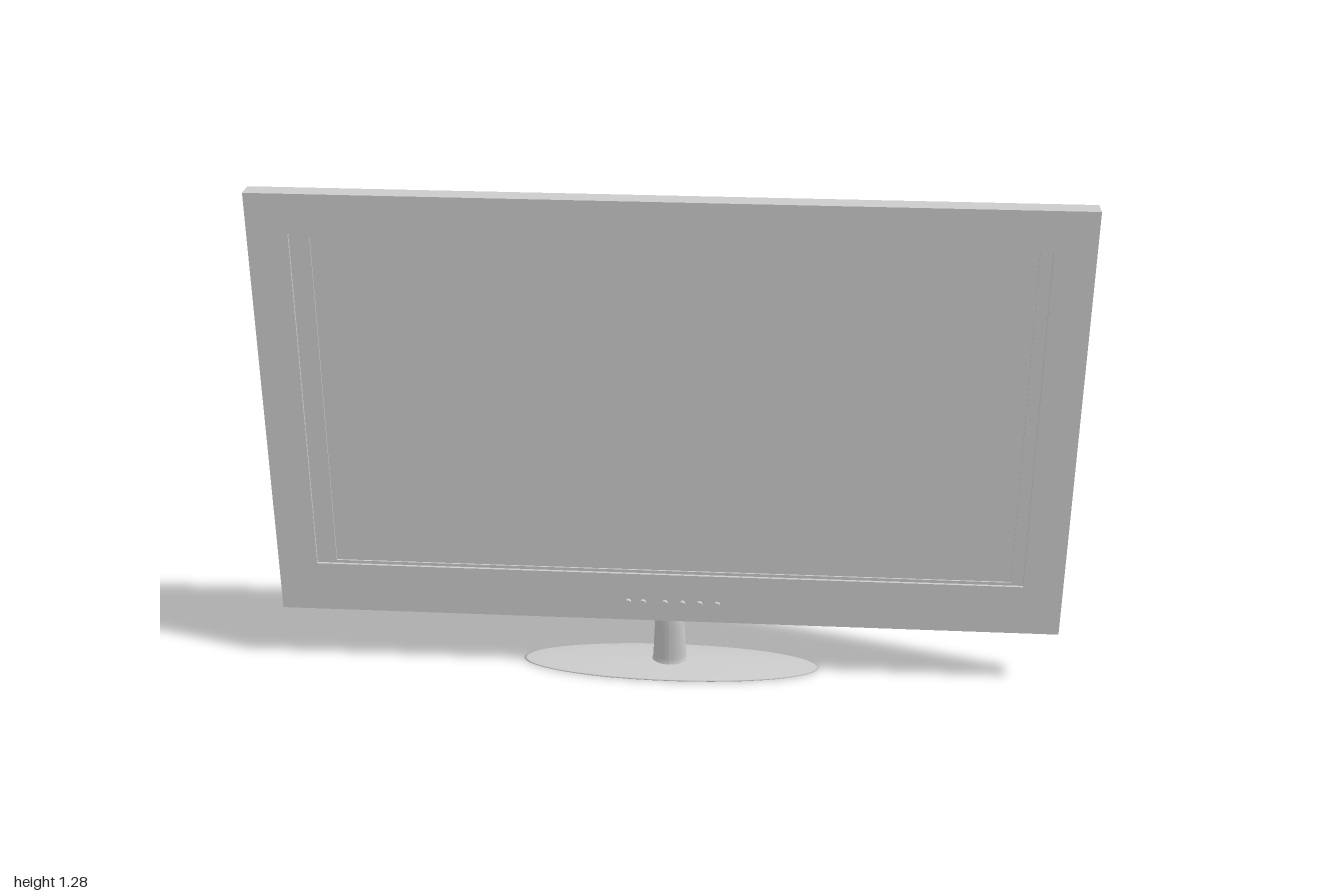
import * as THREE from 'three';

const grey = new THREE.MeshStandardMaterial({ color: 0xcccccc });

function add(parent, name, geometry, x = 0, y = 0, z = 0) {
  const mesh = new THREE.Mesh(geometry, grey);
  mesh.name = name;
  mesh.position.set(x, y, z);
  parent.add(mesh);
  return mesh;
}

// Corners of a rectangle, counterclockwise seen from the front
const corners = ([x0, x1, y0, y1]) => [[x0, y0], [x1, y0], [x1, y1], [x0, y1]];

// Rectangular slab between two depths, with an optional rectangular opening
function slab(rect, zBack, zFront, opening) {
  const points = (r) => corners(r).map(([x, y]) => new THREE.Vector2(x, y));
  const shape = new THREE.Shape(points(rect));
  if (opening) shape.holes.push(new THREE.Path(points(opening).reverse()));
  const geometry = new THREE.ExtrudeGeometry(shape, { depth: zFront - zBack, bevelEnabled: false });
  return geometry.translate(0, 0, zBack);
}

// Sloping walls joining rectangles that step towards the back
function slopedWalls(rings) {
  const positions = [];
  for (let r = 0; r < rings.length - 1; r++) {
    const outer = corners(rings[r].rect).map((p) => [...p, rings[r].z]);
    const inner = corners(rings[r + 1].rect).map((p) => [...p, rings[r + 1].z]);
    for (let i = 0; i < 4; i++) {
      const j = (i + 1) % 4;
      positions.push(...outer[i], ...inner[j], ...outer[j], ...outer[i], ...inner[i], ...inner[j]);
    }
  }
  const geometry = new THREE.BufferGeometry();
  geometry.setAttribute('position', new THREE.Float32BufferAttribute(positions, 3));
  geometry.computeVertexNormals();
  return geometry;
}

const profile = (list) => list.map(([x, y]) => new THREE.Vector2(x, y));

export function createModel() {
  const model = new THREE.Group();
  model.name = 'television';

  // Bezel, recessed surround and screen
  const opening = [-0.9, 0.9, 0.285, 1.18];
  const screen = [-0.85, 0.87, 0.293, 1.172];
  add(model, 'bezel', slab([-1, 1, 0.15, 1.28], -0.013, 0.036, opening));
  add(model, 'screenSurround', slab(opening, -0.012, 0.029, screen));
  add(model, 'screen', slab(screen, -0.012, 0.025));

  // Control buttons under the screen
  const buttons = new THREE.Group();
  buttons.name = 'buttons';
  model.add(buttons);
  for (const x of [-0.098, -0.06, -0.004, 0.041, 0.085, 0.13]) {
    add(buttons, 'button', new THREE.CylinderGeometry(0.008, 0.008, 0.012, 16).rotateX(Math.PI / 2), x, 0.204, 0.039);
  }

  // Back housing: two slopes up to a flat with a connector recess
  const flat = [-0.705, 0.737, 0.368, 1.074];
  const recess = [0.37, 0.505, 0.42, 0.5];
  add(model, 'backHousingSlopes', slopedWalls([
    { rect: opening, z: -0.012 },
    { rect: [-0.825, 0.857, 0.3, 1.143], z: -0.041 },
    { rect: flat, z: -0.062 },
  ]));
  add(model, 'backHousingPanel', slab(flat, -0.062, -0.045, recess));

  // Connectors inside the recess
  const ports = new THREE.Group();
  ports.name = 'connectors';
  model.add(ports);
  add(ports, 'recessFloor', slab(recess, -0.052, -0.045));
  for (const x of [0.489, 0.464]) {
    for (const y of [0.448, 0.477]) {
      add(ports, 'roundSocket', new THREE.TorusGeometry(0.007, 0.003, 8, 16), x, y, -0.053);
      add(ports, 'socketPin', new THREE.CylinderGeometry(0.003, 0.003, 0.008, 10).rotateX(Math.PI / 2), x, y, -0.055);
    }
  }
  for (const x of [0.436, 0.424]) {
    add(ports, 'smallSocket', new THREE.BoxGeometry(0.008, 0.012, 0.006), x, 0.457, -0.054);
  }

  // Elliptical domed foot
  const foot = new THREE.LatheGeometry(profile([
    [0, 0], [0.98, 0], [1, 0.002], [0.98, 0.004], [0.75, 0.009], [0.4, 0.014], [0, 0.019],
  ]), 64).scale(0.387, 1, 0.089);
  add(model, 'foot', foot, 0.01, 0, 0);

  // Neck: tapers upward, leaning so its front stays upright
  const neck = new THREE.LatheGeometry(profile([
    [1.3, 0.012], [1.18, 0.019], [1.13, 0.03], [1.07, 0.08], [1, 0.13], [0.96, 0.145], [0.9, 0.153], [0, 0.153],
  ]), 32).scale(0.038, 1, 0.025);
  const p = neck.attributes.position;
  for (let i = 0; i < p.count; i++) p.setZ(i, p.getZ(i) + 0.04 * p.getY(i));
  neck.computeVertexNormals();
  add(model, 'neck', neck, 0.007, 0, 0);

  return model;
}
